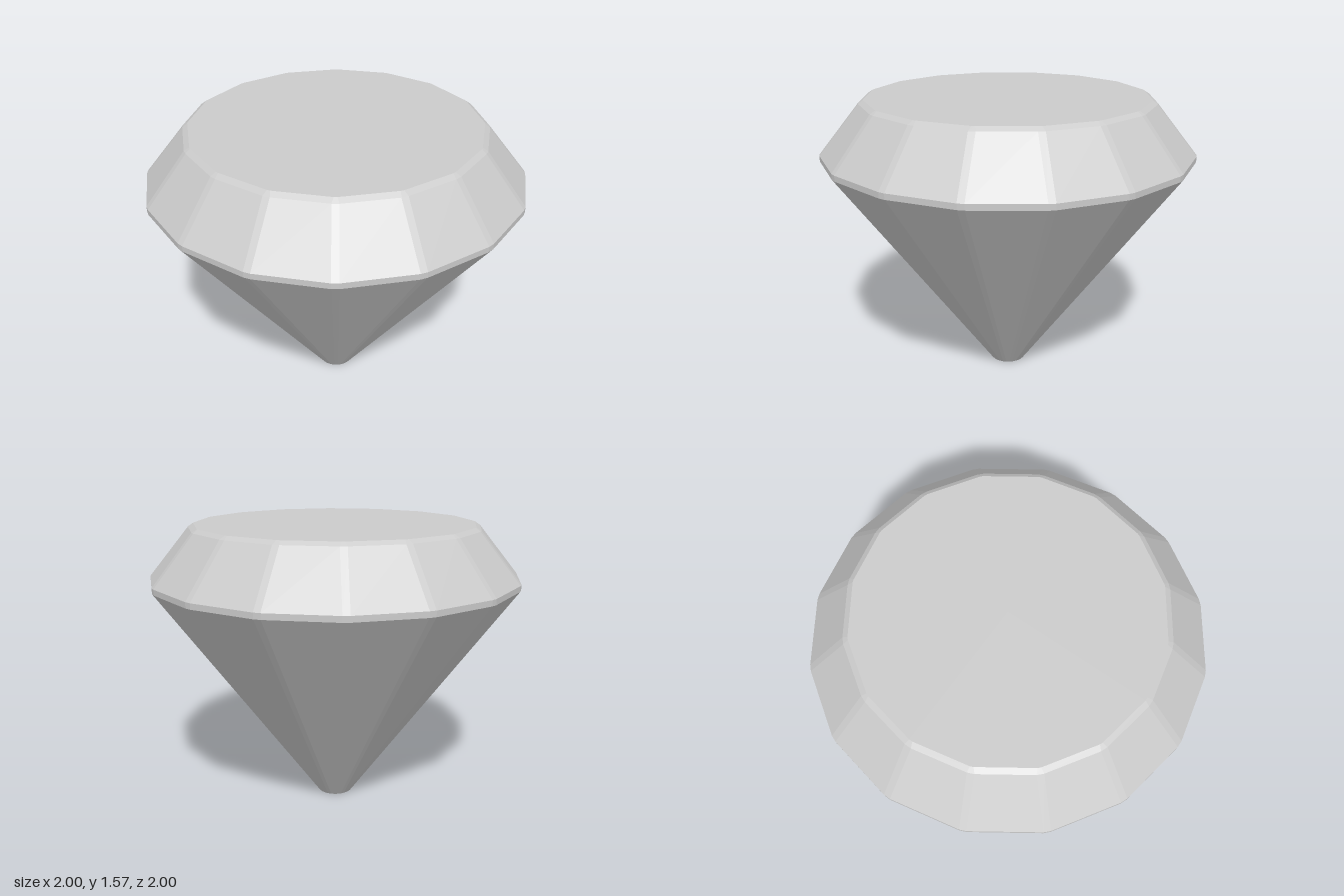
import * as THREE from 'three';

const SIDES = 16;
const material = new THREE.MeshStandardMaterial({ color: 0xcccccc, flatShading: true });

// Polygon ring with every corner cut off at distance `cut` along its edges
function ring(radius, y, cut) {
  const corner = (i) => {
    const a = (i / SIDES) * Math.PI * 2;
    return new THREE.Vector3(Math.cos(a) * radius, y, Math.sin(a) * radius);
  };
  const t = cut / (2 * radius * Math.sin(Math.PI / SIDES));
  const points = [];
  for (let i = 0; i < SIDES; i++) {
    points.push(corner(i).lerp(corner(i - 1), t), corner(i).lerp(corner(i + 1), t));
  }
  return points;
}

function facetMesh(name, corners) {
  const geometry = new THREE.BufferGeometry().setFromPoints(corners);
  geometry.computeVertexNormals();
  const mesh = new THREE.Mesh(geometry, material);
  mesh.name = name;
  return mesh;
}

// Wall of facets between a lower and an upper ring
function band(name, lower, upper) {
  const corners = [];
  lower.forEach((l, i) => {
    const j = (i + 1) % lower.length;
    corners.push(lower[j], l, upper[i], lower[j], upper[i], upper[j]);
  });
  return facetMesh(name, corners);
}

// Flat face closing a ring
function cap(name, points, up) {
  const center = new THREE.Vector3(0, points[0].y, 0);
  const corners = [];
  points.forEach((p, i) => {
    const q = points[(i + 1) % points.length];
    corners.push(center, up ? q : p, up ? p : q);
  });
  return facetMesh(name, corners);
}

export function createModel() {
  const gem = new THREE.Group();
  gem.name = 'gem';

  // Rings from the blunt tip up to the flat table
  const tip = ring(0.1, 0, 0.01);
  const girdleLow = ring(1.003, 1.255, 0.018);
  const girdleHigh = ring(1.003, 1.285, 0.018);
  const crownTop = ring(0.788, 1.547, 0.018);
  const tableEdge = ring(0.76, 1.565, 0.008);

  gem.add(
    cap('tipFace', tip, false),
    band('pavilion', tip, girdleLow),
    band('girdle', girdleLow, girdleHigh),
    band('crown', girdleHigh, crownTop),
    band('tableBevel', crownTop, tableEdge),
    cap('table', tableEdge, true),
  );
  return gem;
}
